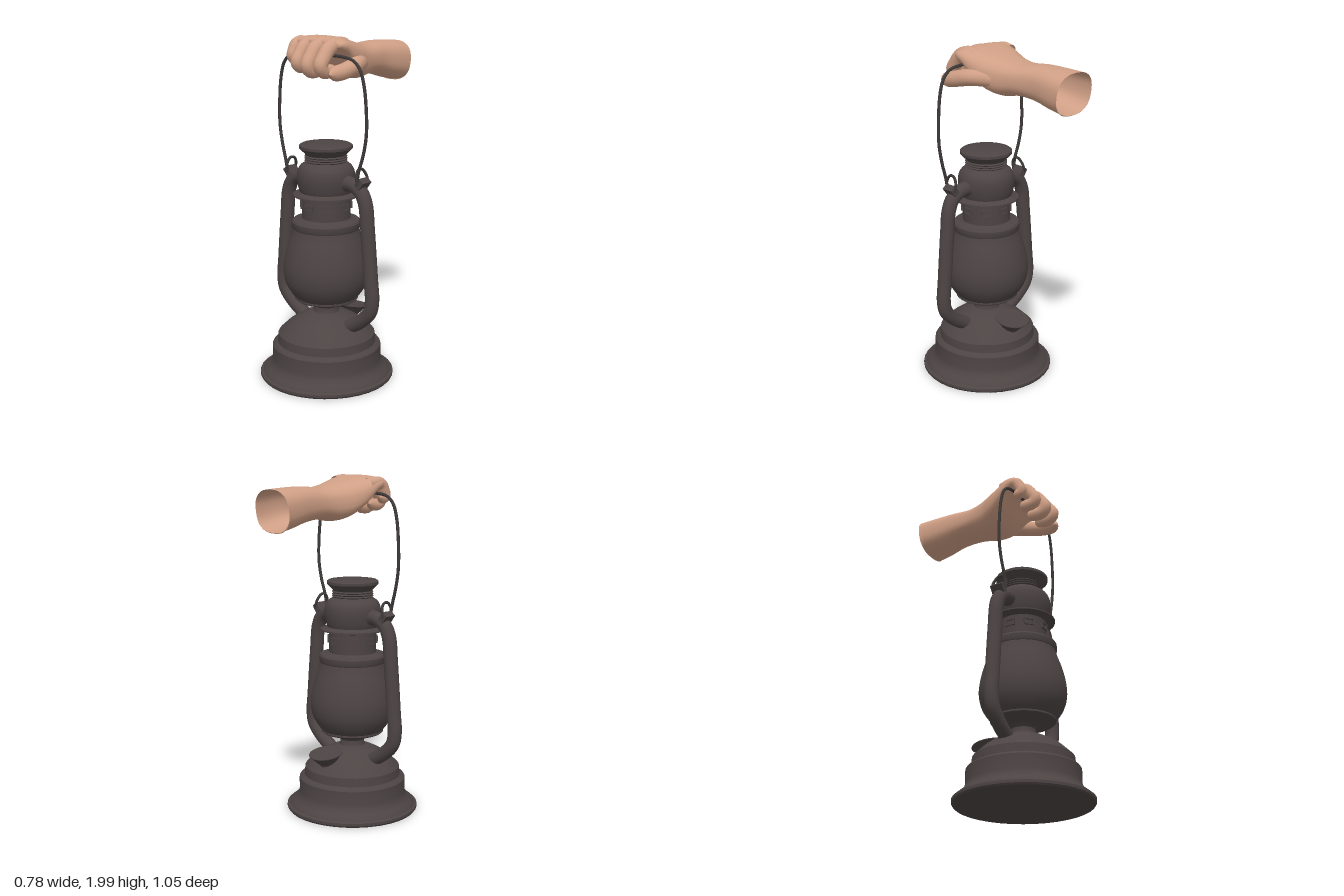
import * as THREE from 'three';
import { toCreasedNormals } from 'three/addons/utils/BufferGeometryUtils.js';

const AXIS_Z = 0.13; // the lantern hangs forward of the centre

const metal = new THREE.MeshStandardMaterial({ color: 0x4d4444, side: THREE.DoubleSide });
metal.name = 'dark lantern metal';
const wireMat = new THREE.MeshStandardMaterial({ color: 0x3f3a3a });
wireMat.name = 'dark wire';
const skin = new THREE.MeshStandardMaterial({ color: 0xcf9f85, side: THREE.DoubleSide });
skin.name = 'skin';

const v3 = (p) => new THREE.Vector3(...p);

function addMesh(parent, name, geometry, material) {
  const mesh = new THREE.Mesh(geometry, material);
  mesh.name = name;
  parent.add(mesh);
  return mesh;
}

// Turned part from [radius, height] pairs, bottom to top
function turned(points, smooth = false) {
  const pts = points.map(([r, y]) => new THREE.Vector2(r, y));
  const profile = smooth ? new THREE.SplineCurve(pts).getPoints(24) : pts;
  return toCreasedNormals(new THREE.LatheGeometry(profile, 36), 0.6);
}

// Round tube whose radius follows a rule of t along the path
function tube(points, radiusAt, segments = 40, sides = 12) {
  const curve = new THREE.CatmullRomCurve3(points.map(v3));
  const geo = new THREE.TubeGeometry(curve, segments, 1, sides);
  const pos = geo.attributes.position;
  const v = new THREE.Vector3();
  for (let i = 0; i < pos.count; i++) {
    const t = Math.floor(i / (sides + 1)) / segments;
    const c = curve.getPointAt(t);
    v.fromBufferAttribute(pos, i).sub(c).multiplyScalar(radiusAt(t)).add(c);
    pos.setXYZ(i, v.x, v.y, v.z);
  }
  return geo;
}

// Finger radius: slight taper and a rounded tip
const fingerRadius = (r) => (t) =>
  r * (1 - 0.15 * t) * (t > 0.88 ? Math.sqrt(Math.max(0, 1 - ((t - 0.88) / 0.12) ** 2)) : 1);

// Loft along z from [z, left x, right x, bottom y, top y] rows
function loft(rows, sides = 32, steps = 48) {
  const column = (k) => new THREE.CatmullRomCurve3(rows.map((r, i) => new THREE.Vector3(i, r[k], 0)));
  const columns = [0, 1, 2, 3, 4].map(column);
  const positions = [];
  const index = [];
  for (let i = 0; i <= steps; i++) {
    const [z, x0, x1, y0, y1] = columns.map((c) => c.getPoint(i / steps).y);
    for (let j = 0; j < sides; j++) {
      const a = (j / sides) * Math.PI * 2;
      const round = (n) => Math.sign(n) * Math.abs(n) ** 0.8;
      const y = (y0 + y1) / 2 + (round(Math.sin(a)) * (y1 - y0)) / 2;
      // The open end of the arm is cut at a slight slant
      const slant = i === 0 ? (1.925 - y) * 0.12 : 0;
      positions.push((x0 + x1) / 2 + (round(Math.cos(a)) * (x1 - x0)) / 2, y, z + slant);
      if (i < steps) {
        const p = i * sides + j;
        const q = i * sides + ((j + 1) % sides);
        index.push(p, q, p + sides, q, q + sides, p + sides);
      }
    }
  }
  const geo = new THREE.BufferGeometry();
  geo.setAttribute('position', new THREE.Float32BufferAttribute(positions, 3));
  geo.setIndex(index);
  geo.computeVertexNormals();
  return geo;
}

function buildLantern() {
  const lantern = new THREE.Group();
  lantern.name = 'lantern';
  lantern.position.z = AXIS_Z;

  addMesh(lantern, 'fuelTank', turned([
    [0, 0.005], [0.385, 0.005], [0.392, 0.015], [0.392, 0.03], [0.375, 0.038], [0.37, 0.048],
    [0.345, 0.065], [0.325, 0.09], [0.318, 0.115], [0.318, 0.195], [0.312, 0.203], [0.288, 0.215],
    [0.283, 0.265], [0.262, 0.285], [0.225, 0.32], [0.18, 0.352], [0.13, 0.378], [0.08, 0.397], [0, 0.4],
  ]), metal);
  addMesh(lantern, 'burner', turned([
    [0.08, 0.39], [0.072, 0.41], [0.072, 0.43], [0.085, 0.448], [0.11, 0.46], [0.175, 0.472],
    [0.185, 0.48], [0.185, 0.49], [0, 0.49],
  ]), metal);
  addMesh(lantern, 'globe', turned([
    [0.178, 0.485], [0.21, 0.525], [0.238, 0.58], [0.249, 0.65], [0.242, 0.72], [0.222, 0.8], [0.198, 0.87], [0.185, 0.92],
  ], true), metal);
  addMesh(lantern, 'globeCollar', turned([
    [0.175, 0.9], [0.192, 0.9], [0.197, 0.908], [0.197, 0.94], [0.19, 0.95], [0.15, 0.955], [0.14, 0.962], [0.14, 1.09],
  ]), metal);
  addMesh(lantern, 'chimneySkirt', turned([
    [0.135, 1.08], [0.16, 1.088], [0.19, 1.092], [0.19, 1.1], [0.16, 1.105], [0.148, 1.115],
  ]), metal);
  addMesh(lantern, 'chimneyBulb', turned([
    [0.146, 1.105], [0.158, 1.14], [0.166, 1.19], [0.162, 1.235], [0.145, 1.265], [0.12, 1.282],
  ], true), metal);
  const neck = [[0.12, 1.275]];
  for (let i = 0; i < 4; i++) neck.push([0.122, 1.28 + i * 0.013], [0.115, 1.287 + i * 0.013]);
  addMesh(lantern, 'chimneyCap', turned([
    ...neck, [0.122, 1.335], [0.14, 1.352], [0.152, 1.365], [0.152, 1.38], [0.14, 1.388], [0.08, 1.396], [0, 1.4],
  ]), metal);

  // Framed vents around the chimney
  const frame = new THREE.Shape([[-0.03, -0.02], [0.03, -0.02], [0.03, 0.02], [-0.03, 0.02]].map((p) => new THREE.Vector2(...p)));
  frame.holes.push(new THREE.Path([[-0.022, -0.012], [-0.022, 0.012], [0.022, 0.012], [0.022, -0.012]].map((p) => new THREE.Vector2(...p))));
  const ventGeo = new THREE.ExtrudeGeometry(frame, { depth: 0.014, bevelEnabled: false });
  for (let i = 0; i < 8; i++) {
    const a = (i * Math.PI) / 4;
    const vent = addMesh(lantern, 'vent', ventGeo, metal);
    vent.position.set(Math.sin(a) * 0.134, 1.037, Math.cos(a) * 0.134);
    vent.rotation.y = a;
  }

  // Filler cap tilted towards the back
  const filler = addMesh(lantern, 'fillerCap', turned([
    [0.04, -0.12], [0.042, -0.07], [0.065, -0.045], [0.095, -0.008], [0.1, -0.005], [0.1, 0], [0, 0.003],
  ]), metal);
  filler.position.set(0, 0.382, -0.22);
  filler.rotation.x = -0.18;

  // Side air tubes, ears and wire hooks
  for (const s of [-1, 1]) {
    addMesh(lantern, 'sideTube', tube([
      [s * 0.13, 1.18, 0], [s * 0.2, 1.178, 0], [s * 0.26, 1.145, 0], [s * 0.293, 1.08, 0], [s * 0.308, 0.95, 0],
      [s * 0.335, 0.65, 0], [s * 0.345, 0.53, 0], [s * 0.33, 0.46, 0], [s * 0.27, 0.395, 0], [s * 0.2, 0.348, 0], [s * 0.14, 0.315, 0],
    ], (t) => 0.041 + 0.008 * Math.max(0, 1 - t / 0.06), 64, 16), metal);
    const ear = addMesh(lantern, 'bailEar', new THREE.BoxGeometry(0.04, 0.055, 0.075), metal);
    ear.position.set(s * 0.272, 1.195, 0);
    ear.rotation.z = -s * 0.65;
    addMesh(lantern, 'bailHook', tube([
      [s * 0.285, 1.19, -0.035], [s * 0.268, 1.24, -0.035], [s * 0.26, 1.275, -0.01], [s * 0.26, 1.277, 0.02],
      [s * 0.262, 1.25, 0.043], [s * 0.27, 1.19, 0.045],
    ], () => 0.008, 32, 8), wireMat);
  }
  return lantern;
}

function buildBail() {
  const half = [
    [0.265, 1.2, 0.17], [0.275, 1.26, 0.172], [0.305, 1.36, 0.168], [0.325, 1.47, 0.166], [0.325, 1.6, 0.166],
    [0.308, 1.75, 0.168], [0.28, 1.83, 0.17], [0.235, 1.872, 0.172], [0.17, 1.887, 0.175],
  ];
  const left = half.map(([x, y, z]) => [-x, y, z]);
  return tube([...left, [0, 1.89, 0.175], ...half.reverse()], () => 0.009, 120, 8);
}

function buildHand() {
  const hand = new THREE.Group();
  hand.name = 'hand';
  addMesh(hand, 'forearmAndPalm', loft([
    [-0.525, -0.17, 0.102, 1.69, 1.925], [-0.42, -0.155, 0.1, 1.71, 1.932], [-0.3, -0.137, 0.093, 1.74, 1.936],
    [-0.18, -0.132, 0.11, 1.752, 1.93], [-0.08, -0.152, 0.137, 1.738, 1.945], [0, -0.18, 0.165, 1.755, 1.965],
    [0.07, -0.197, 0.18, 1.805, 1.982], [0.13, -0.203, 0.183, 1.87, 1.992], [0.175, -0.2, 0.18, 1.905, 1.988],
    [0.205, -0.17, 0.15, 1.925, 1.972], [0.208, -0.03, 0.01, 1.947, 1.95],
  ]), skin);
  // Fingers curled over the wire: [x, reach, drop, radius]
  for (const [x, reach, drop, r] of [
    [-0.165, 0.4, 0.6, 0.036], [-0.083, 0.85, 0.88, 0.04], [0.01, 1, 1, 0.044], [0.105, 1, 0.97, 0.044],
  ]) {
    const at = (y, z) => [x, 1.945 - y * drop, 0.18 + z * reach];
    addMesh(hand, 'finger', tube([
      [x * 0.95, 1.94, 0.09], [x, 1.95, 0.16], at(0.015, 0.04), at(0.06, 0.08), at(0.107, 0.108),
      at(0.136, 0.085), at(0.14, 0.045), at(0.132, -0.01),
    ], fingerRadius(r), 36, 14), skin);
  }
  // Thumb lies below, pressed against the fingers
  addMesh(hand, 'thumb', tube([
    [0.07, 1.83, -0.08], [0.13, 1.84, 0], [0.175, 1.84, 0.07], [0.188, 1.825, 0.14], [0.187, 1.81, 0.21], [0.165, 1.8, 0.285],
  ], fingerRadius(0.05), 36, 14), skin);
  return hand;
}

export function createModel() {
  const model = new THREE.Group();
  model.name = 'handHoldingLantern';
  model.add(buildLantern());
  addMesh(model, 'wireBail', buildBail(), wireMat);
  model.add(buildHand());
  return model;
}
